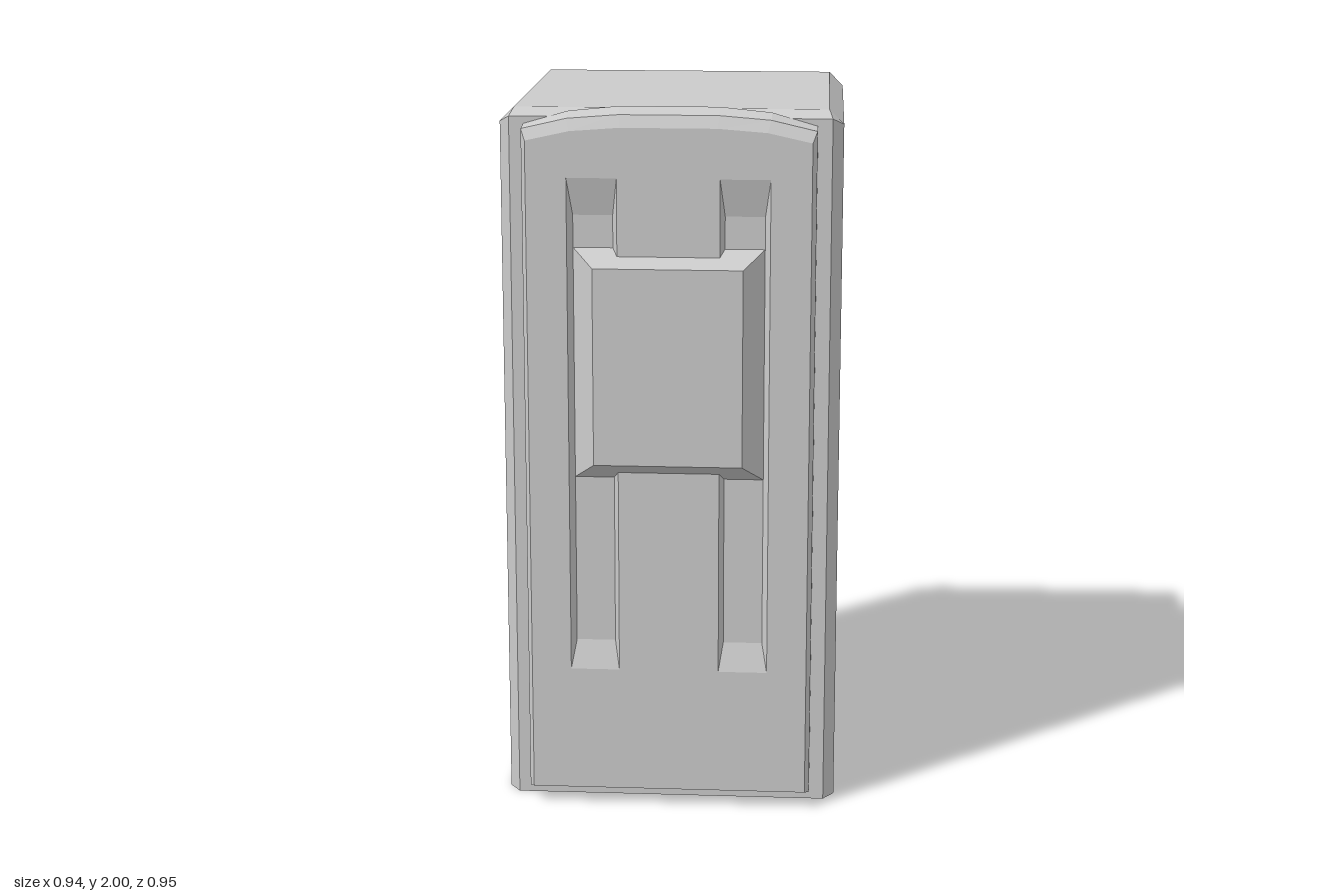
import * as THREE from 'three';

const material = new THREE.MeshStandardMaterial({ color: 0xcccccc, flatShading: true });

// Joins loops of [x, y] points (counter-clockwise seen from the front), each placed at a depth z.
// Caps are fans, so the loops are convex.
function loft(sections, capFirst, capLast) {
  const pos = [];
  const loops = sections.map(({ z, points }) => points.map(([x, y]) => [x, y, z]));
  const tri = (a, b, c) => pos.push(...a, ...b, ...c);
  for (let s = 0; s < loops.length - 1; s++) {
    const a = loops[s], b = loops[s + 1];
    for (let i = 0; i < a.length; i++) {
      const j = (i + 1) % a.length;
      tri(a[i], a[j], b[j]);
      tri(a[i], b[j], b[i]);
    }
  }
  const first = loops[0], last = loops[loops.length - 1];
  for (let i = 1; i < first.length - 1; i++) {
    if (capFirst) tri(first[0], first[i + 1], first[i]);
    if (capLast) tri(last[0], last[i], last[i + 1]);
  }
  const geometry = new THREE.BufferGeometry();
  geometry.setAttribute('position', new THREE.Float32BufferAttribute(pos, 3));
  geometry.computeVertexNormals();
  return geometry;
}

function addMesh(parent, name, geometry) {
  const mesh = new THREE.Mesh(geometry, material);
  mesh.name = name;
  parent.add(mesh);
  return mesh;
}

const rect = (x0, x1, y0, y1) => [[x0, y0], [x1, y0], [x1, y1], [x0, y1]];

// Cabinet outline with chamfered top edges
const cabinetLoop = (w, shoulder, topW, top) =>
  [[-w, 0], [w, 0], [w, shoulder], [topW, top], [-topW, top], [-w, shoulder]];

// Door outline with an arched top
function doorLoop(w, bottom, side, top) {
  const points = [[-w, bottom], [w, bottom]];
  for (const [t, h] of [[1, 0], [0.69, 0.7], [0.34, 0.97], [-0.34, 0.97], [-0.69, 0.7], [-1, 0]]) {
    points.push([w * t, side + (top - side) * h / 0.97]);
  }
  return points;
}

export function createModel() {
  const model = new THREE.Group();
  model.name = 'cabinetModel';

  // Main cabinet, widening slightly to the front, with a bevelled front rim
  addMesh(model, 'cabinet', loft([
    { z: -0.475, points: cabinetLoop(0.46, 1.95, 0.42, 1.99) },
    { z: 0.317, points: cabinetLoop(0.47, 1.95, 0.43, 1.99) },
    { z: 0.36, points: cabinetLoop(0.44, 1.97, 0.44, 1.97) },
  ], true, true));

  // Door with an arched, bevelled top
  const door = new THREE.Group();
  door.name = 'door';
  model.add(door);
  const frontZ = 0.437, floorZ = 0.412;
  const face = doorLoop(0.388, 0.05, 1.915, 1.952);
  addMesh(door, 'doorRim', loft([
    { z: 0.36, points: doorLoop(0.4, 0.045, 1.95, 2) },
    { z: 0.42, points: doorLoop(0.4, 0.045, 1.945, 1.985) },
    { z: frontZ, points: face },
  ], true, false));

  // Door face with two long slots cut in it
  const toPoints = (points) => points.map(([x, y]) => new THREE.Vector2(x, y));
  const faceShape = new THREE.Shape(toPoints(face));
  for (const side of [1, -1]) {
    const span = (a, b, y0, y1) => side > 0 ? rect(a, b, y0, y1) : rect(-b, -a, y0, y1);
    const opening = span(0.14, 0.277, 0.41, 1.815);
    const floor = span(0.153, 0.262, 0.49, 1.71);
    faceShape.holes.push(new THREE.Path(toPoints(opening)));
    addMesh(door, side > 0 ? 'leftSlot' : 'rightSlot', loft([
      { z: frontZ, points: opening },
      { z: floorZ, points: floor },
    ], false, true));
  }
  addMesh(door, 'doorFace', new THREE.ShapeGeometry(faceShape)).position.z = frontZ;

  // Raised block across both slots, bevelled on all four sides
  addMesh(model, 'raisedPanel', loft([
    { z: floorZ, points: rect(-0.262, 0.262, 0.97, 1.62) },
    { z: 0.472, points: rect(-0.205, 0.205, 1.02, 1.573) },
  ], true, true));

  return model;
}
